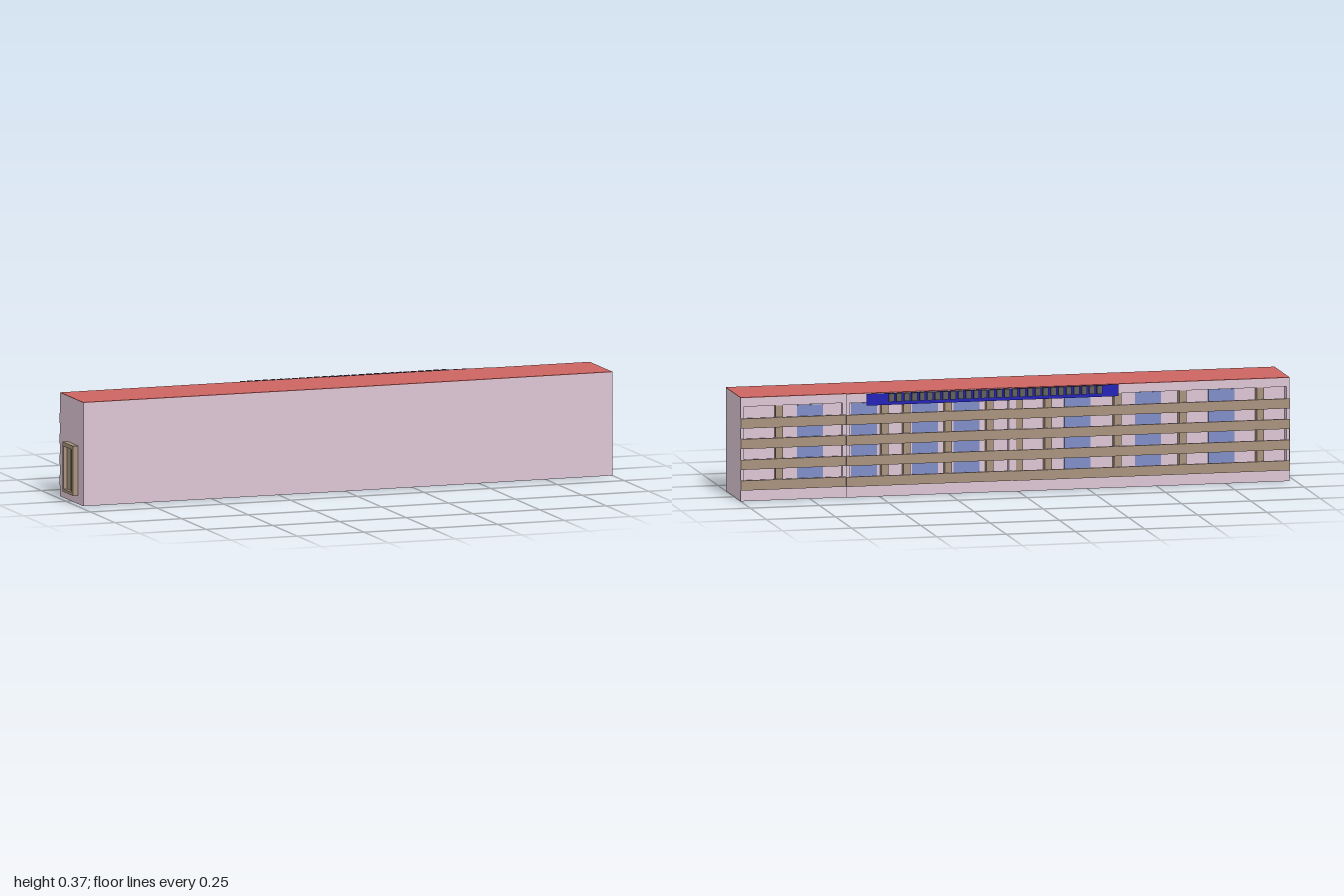
import * as THREE from 'three';

const mat = (color, side = THREE.FrontSide) => new THREE.MeshStandardMaterial({ color, side, flatShading: true });

export function createModel() {
  const building = new THREE.Group();
  building.name = 'longApartmentBlock';
  const pink = mat(0xdcc6d4), red = mat(0xcb6560), brown = mat(0xa8927e);
  const glass = mat(0x7f8cc8), blue = mat(0x2424b8, THREE.DoubleSide), grey = mat(0x606060);
  const H = 0.37, recess = -0.082;

  // Box given by its limits on each axis
  function box(parent, name, material, x0, x1, y0, y1, z0, z1) {
    const m = new THREE.Mesh(new THREE.BoxGeometry(x1 - x0, y1 - y0, z1 - z0), material);
    m.position.set((x0 + x1) / 2, (y0 + y1) / 2, (z0 + z1) / 2);
    m.name = name;
    parent.add(m);
    return m;
  }

  // Plan outline extruded upward between two heights
  function slab(name, material, outline, y0, y1) {
    const shape = new THREE.Shape(outline.map(([x, z]) => new THREE.Vector2(x, -z)));
    const g = new THREE.ExtrudeGeometry(shape, { depth: y1 - y0, bevelEnabled: false });
    g.rotateX(-Math.PI / 2).translate(0, y0, 0);
    const m = new THREE.Mesh(g, material);
    m.name = name;
    building.add(m);
  }

  // Main body and red roof; the rear line steps between three wings
  const front = [[-0.98, 0.123], [-0.38, 0.128], [0, 0.132], [1, 0.13]];
  slab('mainBody', pink, [...front, [1, recess], [-0.98, recess]], 0, H - 0.002);
  slab('roof', red, [...front, [1, -0.101], [0.62, -0.101], [0.62, -0.107],
    [0.02, -0.107], [0.02, -0.112], [-0.98, -0.112]], H - 0.002, H);

  // Seams between the wings on the front wall
  for (const [x, z] of [[-0.38, 0.128], [0, 0.132]])
    box(building, 'frontSeam', pink, x - 0.001, x + 0.001, 0, H - 0.002, z - 0.004, z + 0.0005);

  // Rear wings: recessed galleries with frame, parapets, pillars and windows
  const wings = [
    { x0: -0.98, x1: 0.02, z: -0.112, pillars: [-0.875, -0.595, -0.36, -0.11, -0.005],
      windows: [-0.74, -0.475, -0.22] },
    { x0: 0.02, x1: 0.62, z: -0.107, pillars: [0.1, 0.25, 0.4, 0.48], windows: [0.18, 0.33, 0.55] },
    { x0: 0.62, x1: 1, z: -0.101, pillars: [0.86], windows: [0.745] },
  ];
  const levels = [0.039, 0.113, 0.187, 0.26];
  for (const { x0, x1, z, pillars, windows } of wings) {
    const wing = new THREE.Group();
    wing.name = 'rearWing';
    building.add(wing);
    box(wing, 'plinth', pink, x0, x1, 0, 0.04, z, recess);
    box(wing, 'topBeam', pink, x0, x1, 0.337, H - 0.002, z, recess);
    box(wing, 'endWall', pink, x0, x0 + 0.012, 0.04, 0.337, z, recess);
    box(wing, 'endWall', pink, x1 - 0.012, x1, 0.04, 0.337, z, recess);
    for (const x of pillars)
      box(wing, 'pillar', brown, x - 0.013, x + 0.013, 0.04, 0.337, z + 0.002, recess);
    for (const y of levels) {
      box(wing, 'galleryFloor', pink, x0, x1, y, y + 0.012, z, recess);
      box(wing, 'parapet', pink, x0, x1, y, y + 0.035, z - 0.0045, z + 0.003);
      box(wing, 'parapetFacing', brown, x0, x1, y, y + 0.035, z - 0.006, z - 0.0045);
      for (const x of windows)
        box(wing, 'window', glass, x - 0.047, x + 0.047, y + 0.022, y + 0.072, recess - 0.002, recess);
    }
  }

  // Blue board on the rear, with a row of plain raised blocks
  const board = new THREE.Mesh(new THREE.PlaneGeometry(0.91, 0.042), blue);
  board.position.set(0.095, 0.348, -0.118);
  board.name = 'rearBoard';
  building.add(board);
  const count = 28, pitch = 0.78 / count;
  for (let i = 0; i < count; i++) {
    const x = -0.3 + i * pitch;
    box(building, 'boardBlock', grey, x, x + pitch * 0.7, 0.34, 0.369, -0.132, -0.124);
  }

  // Entrance on the end wall: deep surround with two recessed leaves
  const door = new THREE.Group();
  door.name = 'entrance';
  building.add(door);
  const xo = -1, xi = -0.98, za = -0.036, zb = 0.071;
  box(door, 'doorJamb', brown, xo, xi, 0.03, 0.207, za, za + 0.014);
  box(door, 'doorJamb', brown, xo, xi, 0.03, 0.207, zb - 0.014, zb);
  box(door, 'doorLintel', brown, xo, xi, 0.193, 0.207, za + 0.014, zb - 0.014);
  box(door, 'doorStep', brown, xo, xi, 0.03, 0.04, za + 0.014, zb - 0.014);
  const mid = (za + zb) / 2;
  box(door, 'doorLeaf', brown, -0.988, xi, 0.04, 0.193, za + 0.014, mid - 0.0015);
  box(door, 'doorLeaf', brown, -0.988, xi, 0.04, 0.193, mid + 0.0015, zb - 0.014);

  return building;
}
